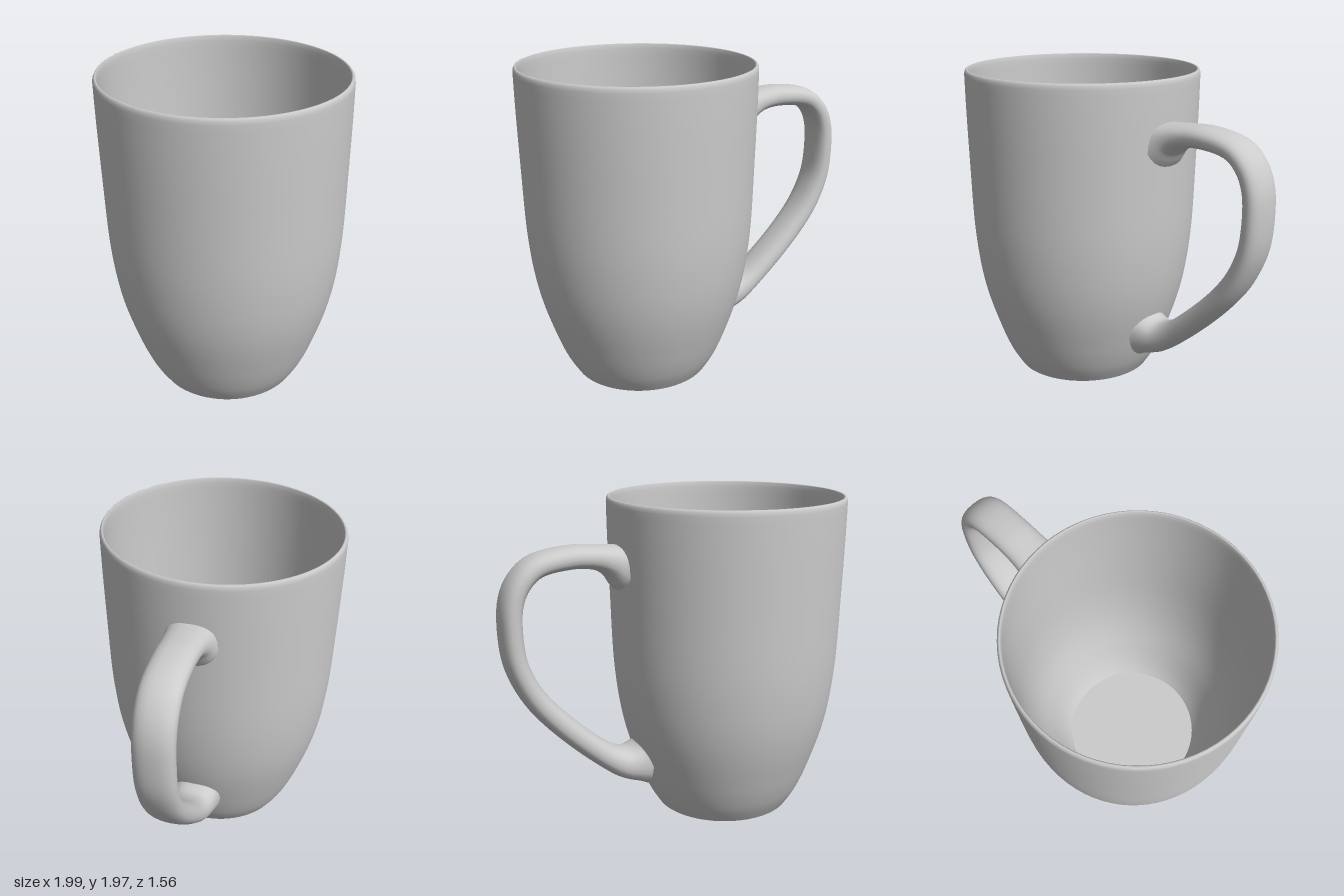
import * as THREE from 'three';

// Outer silhouette of the cup: [radius, height]
const OUTER = [
  [0.43, 0], [0.485, 0.09], [0.53, 0.19], [0.57, 0.3], [0.618, 0.45], [0.655, 0.6],
  [0.682, 0.77], [0.702, 1.0], [0.713, 1.35], [0.722, 1.7], [0.725, 1.93],
];
const WALL = 0.025, FLOOR = 0.035;

// Handle stations: [distance from cup axis, height, half thickness, half width]
const HANDLE = [
  [0.68, 1.585, 0.145, 0.165], [0.765, 1.625, 0.095, 0.138], [0.87, 1.655, 0.07, 0.122],
  [1.02, 1.665, 0.066, 0.118], [1.207, 1.635, 0.064, 0.118], [1.313, 1.55, 0.064, 0.118],
  [1.366, 1.43, 0.064, 0.118], [1.377, 1.28, 0.064, 0.118], [1.363, 1.115, 0.065, 0.118],
  [1.319, 0.98, 0.066, 0.118], [1.243, 0.843, 0.068, 0.118], [1.125, 0.7, 0.07, 0.118],
  [0.973, 0.55, 0.072, 0.118], [0.82, 0.42, 0.076, 0.12], [0.7, 0.355, 0.098, 0.132],
  [0.57, 0.345, 0.145, 0.155],
];

const outer = new THREE.SplineCurve(OUTER.map(([r, y]) => new THREE.Vector2(r, y))).getPoints(40);

function radiusAt(y) {
  for (let i = 1; i < outer.length; i++) {
    const a = outer[i - 1], b = outer[i];
    if (y <= b.y) return a.x + (b.x - a.x) * (y - a.y) / (b.y - a.y);
  }
  return outer[outer.length - 1].x;
}

// Outer wall, rounded rim and inner wall in one turned profile
function wallGeometry() {
  const rim = [[0.723, 1.95], [0.716, 1.962], [0.709, 1.965], [0.703, 1.96]]
    .map(([r, y]) => new THREE.Vector2(r, y));
  const inner = outer.filter(p => p.y > FLOOR + 0.01)
    .map(p => new THREE.Vector2(p.x - WALL, p.y)).reverse();
  inner.push(new THREE.Vector2(radiusAt(FLOOR) - WALL, FLOOR));
  return new THREE.LatheGeometry([...outer, ...rim, ...inner], 72);
}

// Sweep of a soft rectangular section, flared where it meets the cup
function handleGeometry(rings = 64, sides = 24) {
  const path = new THREE.CatmullRomCurve3(
    HANDLE.map(([r, y]) => new THREE.Vector3(r, y, 0)), false, 'catmullrom');
  const size = new THREE.CatmullRomCurve3(
    HANDLE.map(([, , t, w]) => new THREE.Vector3(t, w, 0)), false, 'catmullrom');
  const soften = v => Math.sign(v) * Math.abs(v) ** 0.85;
  const pos = [], index = [];
  for (let i = 0; i <= rings; i++) {
    const u = i / rings;
    const p = path.getPoint(u), s = size.getPoint(u), t = path.getTangent(u);
    for (let j = 0; j < sides; j++) {
      const a = (j / sides) * Math.PI * 2;
      const h = soften(Math.cos(a)) * s.x, z = soften(Math.sin(a)) * s.y;
      const y = p.y + t.x * h;
      // keep the ends inside the thickness of the wall
      const skin = Math.sqrt((radiusAt(y) - 0.005) ** 2 - z * z);
      pos.push(Math.max(p.x - t.y * h, skin), y, z);
      if (i < rings) {
        const k = (j + 1) % sides;
        const A = i * sides + j, B = i * sides + k, C = A + sides, D = B + sides;
        index.push(A, B, C, B, D, C);
      }
    }
  }
  const g = new THREE.BufferGeometry();
  g.setAttribute('position', new THREE.Float32BufferAttribute(pos, 3));
  g.setIndex(index);
  g.computeVertexNormals();
  return g;
}

export function createModel() {
  const mug = new THREE.Group();
  mug.name = 'mug';
  const material = new THREE.MeshStandardMaterial({ color: 0xcccccc, roughness: 0.6 });
  const add = (name, geometry, parent) => {
    const mesh = new THREE.Mesh(geometry, material);
    mesh.name = name;
    parent.add(mesh);
    return mesh;
  };

  const cup = new THREE.Group();
  cup.name = 'cup';
  cup.scale.z = 1.015;
  add('wall', wallGeometry(), cup);
  add('base', new THREE.CircleGeometry(outer[0].x, 72).rotateX(Math.PI / 2), cup);
  add('innerFloor', new THREE.CircleGeometry(radiusAt(FLOOR) - WALL, 72).rotateX(-Math.PI / 2), cup)
    .position.y = FLOOR;
  mug.add(cup);

  // Handle points to the model's left and back
  add('handle', handleGeometry(), mug).rotation.y = THREE.MathUtils.degToRad(31.5);

  mug.position.set(-0.273, 0, 0.048);
  const model = new THREE.Group();
  model.add(mug);
  return model;
}
